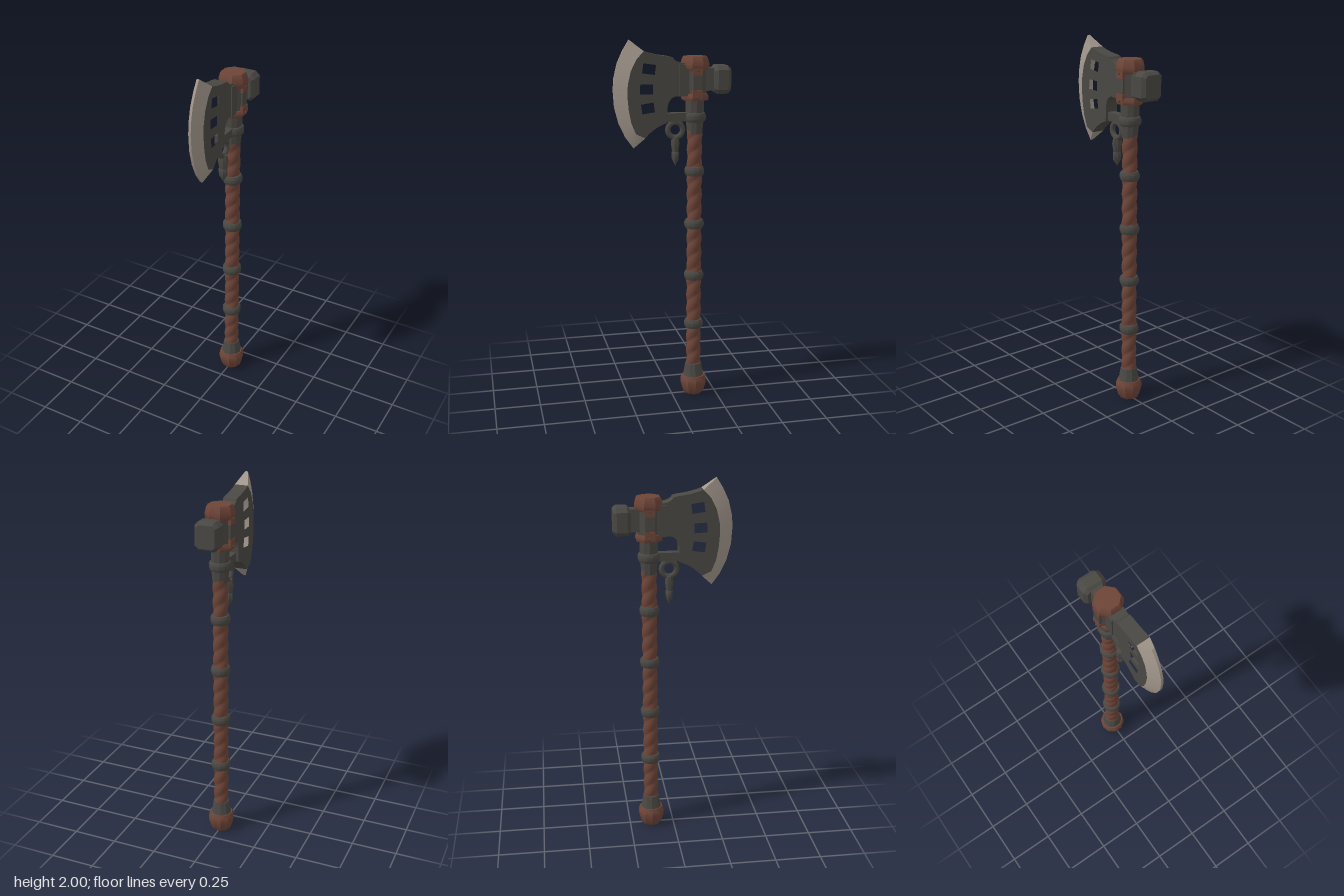
import * as THREE from 'three';
import { toCreasedNormals } from 'three/addons/utils/BufferGeometryUtils.js';

const leather = new THREE.MeshStandardMaterial({ color: 0x6e4538 });
leather.name = 'brown leather';
const iron = new THREE.MeshStandardMaterial({ color: 0x4a4843 });
iron.name = 'dark iron';
const steel = new THREE.MeshStandardMaterial({ color: 0xa2978c });
steel.name = 'pale steel';

const SHAFT_Z = -0.127;

export function createModel() {
  const group = new THREE.Group();
  group.name = 'battleAxe';

  const add = (name, geometry, material, x = 0, y = 0, z = 0) => {
    const mesh = new THREE.Mesh(geometry, material);
    mesh.name = name;
    mesh.position.set(x, y, z);
    group.add(mesh);
    return mesh;
  };
  // Turned part around the shaft; profile is [radius, y] from bottom to top
  const turned = (name, profile, material, sides = 8, z = SHAFT_Z) => {
    const points = profile.map(([r, y]) => new THREE.Vector2(r, y));
    const geometry = new THREE.LatheGeometry(points, sides, Math.PI / sides);
    return add(name, toCreasedNormals(geometry, 0.6), material, 0, 0, z);
  };
  // Shape drawn in (z, y), extruded symmetrically across x
  const plate = (name, shape, width, material) => {
    const geometry = new THREE.ExtrudeGeometry(shape, { depth: width, bevelEnabled: false, curveSegments: 8 });
    geometry.translate(0, 0, -width / 2);
    geometry.rotateY(-Math.PI / 2);
    return add(name, geometry, material);
  };

  // Grip: cylinder with a spiral wrap pressed into its surface
  const grip = new THREE.CylinderGeometry(1, 1, 1.36, 20, 170, true);
  const pos = grip.attributes.position;
  for (let i = 0; i < pos.count; i++) {
    const y = pos.getY(i);
    const angle = Math.atan2(pos.getZ(i), pos.getX(i));
    const r = 0.036 + 0.006 * Math.abs(Math.sin(angle + y * 38));
    pos.setXYZ(i, pos.getX(i) * r, y, pos.getZ(i) * r);
  }
  grip.computeVertexNormals();
  add('wrappedGrip', grip, leather, 0, 0.84, SHAFT_Z);

  // Grip rings
  for (const y of [0.42, 0.705, 1.0, 1.295]) {
    turned('gripRing', [[0.036, y - 0.027], [0.048, y - 0.024], [0.054, y - 0.008],
      [0.054, y + 0.01], [0.047, y + 0.024], [0.036, y + 0.027]], iron, 12);
  }

  // Pommel and ferrule
  turned('pommel', [[0, 0], [0.05, 0], [0.06, 0.012], [0.073, 0.06], [0.073, 0.085],
    [0.064, 0.108], [0, 0.11]], leather, 10);
  turned('ferrule', [[0.06, 0.1], [0.056, 0.115], [0.045, 0.18], [0.036, 0.185]], iron, 10);

  // Socket, collar and the two head bands
  turned('collar', [[0.036, 1.5], [0.041, 1.5], [0.049, 1.58], [0.049, 1.7]], iron, 10);
  turned('hangerRing', [[0.045, 1.563], [0.055, 1.568], [0.06, 1.58], [0.06, 1.6],
    [0.055, 1.612], [0.045, 1.616]], iron, 12);
  turned('socket', [[0.05, 1.68], [0.063, 1.69], [0.063, 1.86]], iron);
  turned('lowerBand', [[0.05, 1.678], [0.07, 1.68], [0.074, 1.69], [0.074, 1.7],
    [0.068, 1.715], [0.06, 1.717]], leather);
  turned('headCap', [[0.06, 1.838], [0.07, 1.84], [0.077, 1.852], [0.077, 1.872],
    [0.07, 1.9], [0.062, 1.912], [0, 1.912]], leather);

  // Side straps, tabs and rivets on both cheeks
  for (const side of [1, -1]) {
    add('sideStrap', new THREE.BoxGeometry(0.014, 0.15, 0.05), iron, side * 0.061, 1.775, SHAFT_Z);
    for (const [tabY, rivetY] of [[1.835, 1.842], [1.718, 1.7]]) {
      add('bandTab', new THREE.BoxGeometry(0.016, 0.04, 0.055), leather, side * 0.063, tabY, SHAFT_Z);
      const rivet = new THREE.CylinderGeometry(0.006, 0.01, 0.014, 8);
      rivet.rotateZ(-side * Math.PI / 2);
      add('rivet', rivet, iron, side * 0.07, rivetY, SHAFT_Z);
    }
  }

  // Cutting edge rows, top to bottom: inner z, y, outer z, y
  const rows = [
    [0.155, 1.943, 0.228, 2.0],
    [0.195, 1.9, 0.262, 1.945],
    [0.225, 1.84, 0.292, 1.88],
    [0.241, 1.77, 0.311, 1.8],
    [0.244, 1.71, 0.315, 1.74],
    [0.238, 1.64, 0.309, 1.65],
    [0.225, 1.57, 0.287, 1.565],
    [0.2, 1.51, 0.252, 1.49],
    [0.15, 1.487, 0.208, 1.43],
  ];

  // Blade body with three windows
  const body = new THREE.Shape();
  body.moveTo(-0.1, 1.875);
  body.lineTo(-0.055, 1.878);
  body.quadraticCurveTo(-0.01, 1.885, 0, 1.908);
  body.lineTo(0.025, 1.914);
  body.quadraticCurveTo(0.09, 1.92, 0.155, 1.943);
  for (const [z, y] of rows) body.lineTo(z, y);
  body.quadraticCurveTo(0.1, 1.545, 0.032, 1.565);
  body.lineTo(0.03, 1.645);
  body.quadraticCurveTo(0.022, 1.7, -0.02, 1.705);
  body.lineTo(-0.1, 1.7);
  for (const [z, y, tilt] of [[0.128, 1.85, 0.14], [0.142, 1.745, 0.04], [0.135, 1.645, -0.14]]) {
    const c = Math.cos(tilt), s = Math.sin(tilt);
    const hole = new THREE.Path([[-1, -1], [-1, 1], [1, 1], [1, -1]].map(([u, v]) => new THREE.Vector2(
      z + u * 0.034 * c - v * 0.026 * s, y + u * 0.034 * s + v * 0.026 * c)));
    body.holes.push(hole);
  }
  plate('bladeBody', body, 0.074, iron);

  // Bevelled cutting edge lofted along the rows
  const verts = [], index = [];
  for (const [zi, yi, zo, yo] of rows) {
    verts.push(0.037, yi, zi, 0.007, yo, zo, -0.007, yo, zo, -0.037, yi, zi);
  }
  const quad = (a, b, c, d) => index.push(a, b, c, a, c, d);
  for (let i = 0; i < rows.length - 1; i++) {
    for (let k = 0; k < 4; k++) {
      const a = i * 4 + k, b = i * 4 + (k + 1) % 4;
      quad(a, b, b + 4, a + 4);
    }
  }
  const last = (rows.length - 1) * 4;
  quad(0, 3, 2, 1);
  quad(last, last + 1, last + 2, last + 3);
  const edge = new THREE.BufferGeometry();
  edge.setAttribute('position', new THREE.Float32BufferAttribute(verts, 3));
  edge.setIndex(index);
  add('cuttingEdge', toCreasedNormals(edge, 0.5), steel);

  // Thickened cheek where the blade meets the socket
  add('bladeRoot', new THREE.BoxGeometry(0.086, 0.165, 0.06), iron, 0, 1.787, -0.065);

  // Hammer poll at the back
  add('pollNeck', new THREE.BoxGeometry(0.066, 0.12, 0.08), iron, 0, 1.79, -0.2);
  const w = 0.05, h = 0.06, c = 0.014;
  const face = new THREE.Shape([[w, -h + c], [w, h - c], [w - c, h], [-w + c, h], [-w, h - c],
    [-w, -h + c], [-w + c, -h], [w - c, -h]].map(([x, y]) => new THREE.Vector2(x, y)));
  const poll = new THREE.ExtrudeGeometry(face, {
    depth: 0.055, bevelEnabled: true, bevelThickness: 0.018, bevelSize: 0.015, bevelSegments: 1,
  });
  add('hammerPoll', poll, iron, 0, 1.788, -0.296);

  // Hanger arm, ring and pendant spike
  add('hangerArm', new THREE.BoxGeometry(0.045, 0.046, 0.12), iron, 0, 1.591, -0.028);
  const ring = new THREE.TorusGeometry(0.041, 0.015, 8, 16);
  ring.rotateY(Math.PI / 2);
  add('pendantRing', ring, iron, 0, 1.522, -0.02);
  const spike = turned('pendantSpike', [[0, 1.325], [0.018, 1.362], [0.02, 1.4], [0.017, 1.405],
    [0.023, 1.45], [0.018, 1.485], [0, 1.49]], iron, 8, -0.02);
  spike.scale.x = 1.3;

  return group;
}
